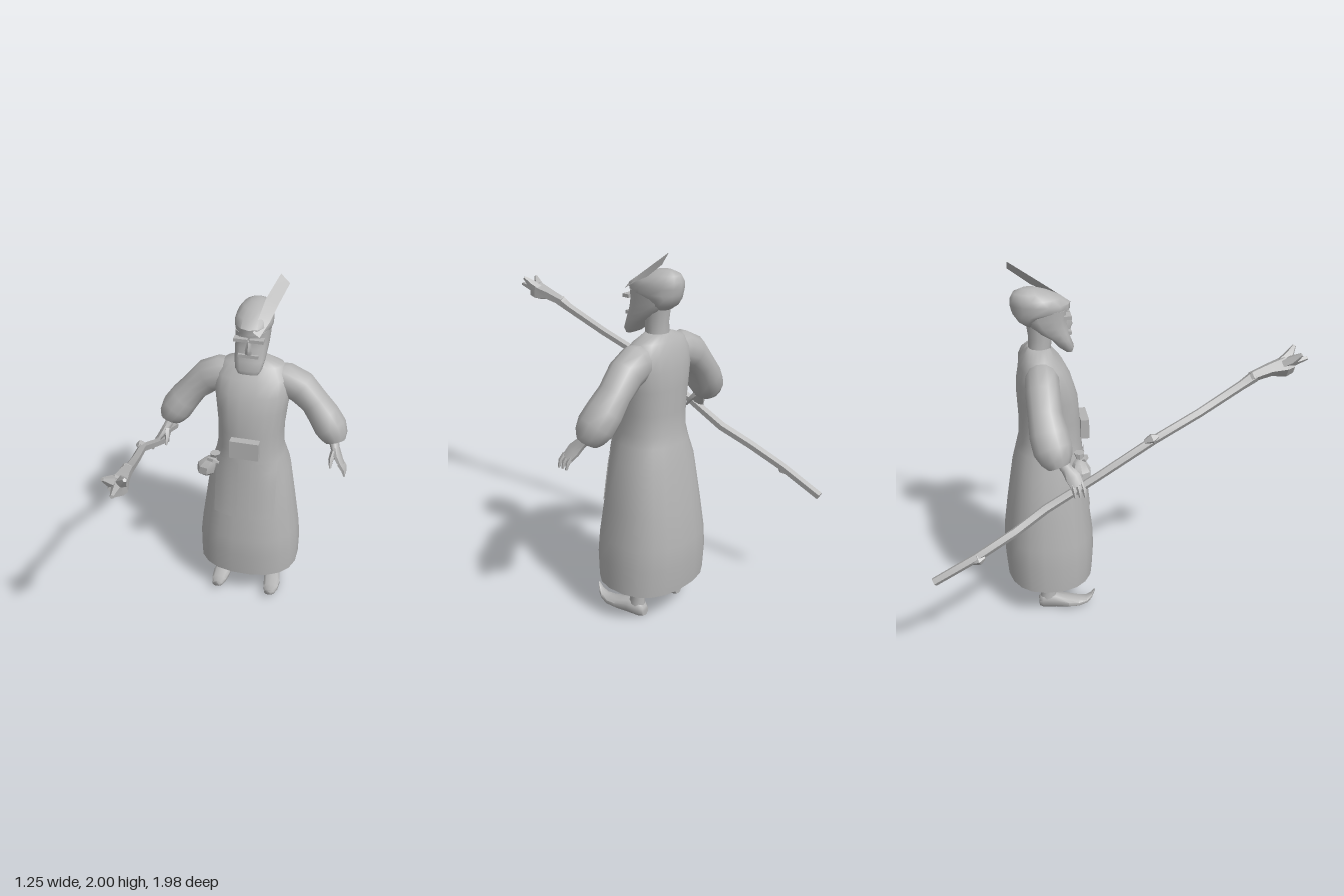
import * as THREE from 'three';
import { toCreasedNormals } from 'three/addons/utils/BufferGeometryUtils.js';

const CX = 0.06; // the figure's own middle; the staff pushes it off x = 0
const V = (x, y, z) => new THREE.Vector3(x, y, z);
const X = V(1, 0, 0), Y = V(0, 1, 0), Z = V(0, 0, 1);
const clay = new THREE.MeshStandardMaterial({ color: 0xb4b4b4 });
clay.name = 'clay grey';
const thin = new THREE.MeshStandardMaterial({ color: 0xb4b4b4, side: THREE.DoubleSide });
thin.name = 'clay grey sheet';

// Superellipse power: keeps the sign
const sp = (v, p) => Math.sign(v) * Math.pow(Math.abs(v), p);

// Skin rings [x, y, z, halfU, halfV]; axis fixes the ring planes, otherwise they follow the path
function loft(rings, { n = 10, ref = X, axis = null, p = 1, crease = 0.9 } = {}) {
  const pos = [], idx = [], c = rings.map((r) => V(r[0], r[1], r[2])), last = rings.length - 1;
  rings.forEach((r, i) => {
    const t = axis || c[Math.min(i + 1, last)].clone().sub(c[Math.max(i - 1, 0)]).normalize();
    const u = ref.clone().addScaledVector(t, -ref.dot(t)).normalize();
    const v = t.clone().cross(u);
    for (let k = 0; k < n; k++) {
      const a = ((k + 0.5) / n) * Math.PI * 2;
      const q = c[i].clone().addScaledVector(u, r[3] * sp(Math.cos(a), p));
      q.addScaledVector(v, (r[4] ?? r[3]) * sp(Math.sin(a), p));
      pos.push(q.x, q.y, q.z);
      if (i < last) {
        const a0 = i * n + k, b0 = i * n + ((k + 1) % n);
        idx.push(a0, b0, b0 + n, a0, b0 + n, a0 + n);
      }
    }
  });
  const s = pos.length / 3;
  pos.push(...c[0].toArray(), ...c[last].toArray());
  for (let k = 0; k < n; k++) {
    const m = (k + 1) % n;
    idx.push(s, m, k, s + 1, last * n + k, last * n + m);
  }
  const g = new THREE.BufferGeometry();
  g.setAttribute('position', new THREE.Float32BufferAttribute(pos, 3));
  g.setIndex(idx);
  return toCreasedNormals(g, crease);
}

// Upright body from [y, halfWidth, zFront, zBack]
const upright = (rows, opt) => loft(
  rows.map(([y, rx, f, b]) => [CX, y, (f + b) / 2, rx, (f - b) / 2]), { axis: Y, ...opt });

const ROBE = [
  [0.2, 0.3, -0.1, -0.59], [0.35, 0.302, -0.09, -0.6], [0.47, 0.29, -0.094, -0.595],
  [0.65, 0.265, -0.115, -0.57], [0.9, 0.23, -0.138, -0.53], [1.0, 0.198, -0.145, -0.505],
  [1.06, 0.187, -0.15, -0.49], [1.17, 0.187, -0.155, -0.485], [1.3, 0.2, -0.165, -0.49],
  [1.4, 0.215, -0.195, -0.485], [1.48, 0.21, -0.235, -0.47], [1.54, 0.165, -0.285, -0.445],
  [1.572, 0.075, -0.305, -0.42],
];
const ROBE_P = 0.85;

// Front surface of the robe at x, y
function robeFront(x, y) {
  const i = Math.max(1, ROBE.findIndex((r) => r[0] >= y));
  const a = ROBE[i - 1], b = ROBE[i], t = (y - a[0]) / (b[0] - a[0]);
  const [rx, f, k] = [1, 2, 3].map((j) => a[j] + (b[j] - a[j]) * t);
  const e = 2 / ROBE_P, w = Math.pow(Math.abs((x - CX) / rx), e);
  return (f + k) / 2 + ((f - k) / 2) * Math.pow(1 - w, 1 / e);
}

export function createModel() {
  const model = new THREE.Group();
  model.name = 'robedWanderer';
  const add = (name, geo, mat = clay) => {
    const m = new THREE.Mesh(geo, mat);
    m.name = name;
    model.add(m);
    return m;
  };
  const box = (name, w, h, d, x, y, z) =>
    add(name, new THREE.BoxGeometry(w, h, d)).position.set(x, y, z);

  // Robe with belt buckle and two hanging front panels
  add('robe', upright(ROBE, { n: 20, p: ROBE_P }));
  box('beltBuckle', 0.165, 0.11, 0.045, 0.0625, 1.105, -0.1325);
  for (const [name, x] of [['rightPanel', -0.0475], ['leftPanel', 0.1675]]) {
    const g = new THREE.PlaneGeometry(0.143, 0.37, 4, 6), a = g.attributes.position;
    for (let i = 0; i < a.count; i++) {
      const px = a.getX(i) + x, py = a.getY(i) + 0.815;
      a.setXYZ(i, px, py, robeFront(px, py) + 0.007);
    }
    g.computeVertexNormals();
    add(name, g, thin);
  }

  // Pouch on the right hip
  add('pouch', loft([[-0.17, 0.865, -0.18, 0.025], [-0.172, 0.895, -0.178, 0.055],
    [-0.165, 0.94, -0.178, 0.056], [-0.145, 0.975, -0.18, 0.035], [-0.13, 0.99, -0.18, 0.018],
    [-0.118, 1.02, -0.18, 0.03]], { n: 7, axis: Y, crease: 0.6 }));
  add('pouchTie', loft([[-0.155, 0.985, -0.16, 0.012], [-0.12, 0.99, -0.145, 0.016],
    [-0.09, 0.975, -0.15, 0.006]], { n: 5, ref: Y }));

  // Neck, bearded face, brows and nose
  add('neck', upright([[1.54, 0.065, -0.3, -0.42], [1.62, 0.058, -0.29, -0.415],
    [1.74, 0.065, -0.28, -0.43]], { n: 12 }));
  add('face', upright([[1.55, 0.055, -0.185, -0.225], [1.575, 0.072, -0.178, -0.26],
    [1.62, 0.082, -0.195, -0.3], [1.655, 0.085, -0.2, -0.36], [1.69, 0.088, -0.21, -0.4],
    [1.73, 0.09, -0.215, -0.43], [1.78, 0.092, -0.21, -0.45]], { n: 14, p: 0.65 }));
  add('nose', loft([[CX, 1.66, -0.205, 0.02, 0.012], [CX, 1.69, -0.205, 0.02, 0.025],
    [CX, 1.74, -0.21, 0.01, 0.012]], { n: 6, axis: Y }));
  box('moustache', 0.11, 0.018, 0.03, CX, 1.655, -0.207);
  for (const s of [-1, 1]) box('brow', 0.075, 0.018, 0.04, CX + s * 0.043, 1.745, -0.213);

  // Turban and its feather
  add('turban', upright([[1.695, 0.045, -0.37, -0.43], [1.72, 0.075, -0.34, -0.465],
    [1.755, 0.092, -0.28, -0.488], [1.775, 0.1, -0.192, -0.495], [1.808, 0.102, -0.19, -0.502],
    [1.84, 0.095, -0.235, -0.5], [1.87, 0.07, -0.3, -0.485], [1.89, 0.03, -0.36, -0.44]],
    { n: 14 }));
  const feather = new THREE.BufferGeometry();
  feather.setAttribute('position', new THREE.Float32BufferAttribute([
    0.085, 1.8, -0.19, 0.12, 1.775, -0.19, 0.1, 1.855, -0.27, 0.155, 1.825, -0.28,
    0.115, 1.915, -0.36, 0.175, 1.87, -0.38, 0.165, 2.0, -0.5, 0.215, 1.95, -0.5], 3));
  feather.setIndex([0, 1, 3, 0, 3, 2, 2, 3, 5, 2, 5, 4, 4, 5, 7, 4, 7, 6]);
  feather.computeVertexNormals();
  add('feather', feather, thin);

  // Arms, hands, legs and shoes on both sides
  for (const [side, s] of [['left', 1], ['right', -1]]) {
    const limb = (part, rings, opt) => add(side + part,
      loft(rings.map(([x, ...r]) => [CX + s * (x - CX), ...r]), opt));
    limb('Sleeve', [[0.14, 1.455, -0.365, 0.07, 0.08], [0.24, 1.445, -0.365, 0.09, 0.1],
      [0.32, 1.41, -0.37, 0.09, 0.095], [0.4, 1.33, -0.37, 0.088, 0.08],
      [0.46, 1.255, -0.36, 0.1, 0.088], [0.505, 1.19, -0.345, 0.102, 0.092],
      [0.53, 1.145, -0.33, 0.085, 0.078], [0.54, 1.115, -0.32, 0.06, 0.058]],
      { n: 12, ref: Z });
    limb('Hand', [[0.525, 1.15, -0.325, 0.032, 0.03], [0.545, 1.1, -0.285, 0.03, 0.025],
      [0.568, 1.06, -0.255, 0.042, 0.022], [0.595, 1.02, -0.235, 0.036, 0.016]],
      { n: 8, ref: Z });
    for (let f = 0; f < 3; f++) {
      const z = -0.262 + f * 0.025;
      limb('Finger', [[0.585, 1.035, z, 0.014], [0.608, 1.005, z + 0.008, 0.013],
        [0.619, 0.968, z + 0.012, 0.006]], { n: 5, ref: Z });
    }
    limb('Thumb', [[0.545, 1.085, -0.255, 0.02], [0.535, 1.05, -0.222, 0.015],
      [0.537, 1.01, -0.198, 0.006]], { n: 5 });
    limb('Leg', [[0.21, 0.05, -0.37, 0.04, 0.05], [0.208, 0.11, -0.37, 0.034, 0.043],
      [0.206, 0.25, -0.37, 0.038, 0.046]], { n: 10, axis: Y });
    limb('Shoe', [[0.208, 0.04, -0.425, 0.025, 0.028], [0.21, 0.046, -0.405, 0.038, 0.04],
      [0.214, 0.046, -0.33, 0.045, 0.042], [0.222, 0.036, -0.26, 0.053, 0.03],
      [0.226, 0.029, -0.2, 0.046, 0.024], [0.226, 0.033, -0.15, 0.032, 0.018],
      [0.224, 0.055, -0.12, 0.019, 0.016], [0.22, 0.09, -0.1, 0.006, 0.008]],
      { n: 10, axis: Z, p: 0.8 });
  }

  // Knotted staff with a clawed head
  const wood = { n: 5, crease: 0.35 };
  add('staffShaft', loft([[-0.605, 0.615, -0.98, 0.023], [-0.585, 0.725, -0.76, 0.024],
    [-0.54, 0.825, -0.56, 0.025], [-0.483, 0.91, -0.4, 0.026], [-0.46, 1.06, -0.13, 0.023],
    [-0.432, 1.23, 0.16, 0.024], [-0.38, 1.335, 0.4, 0.024], [-0.328, 1.45, 0.63, 0.026],
    [-0.315, 1.49, 0.7, 0.032]], wood));
  for (const [x, y, z] of [[-0.59, 0.715, -0.75], [-0.44, 1.24, 0.15], [-0.32, 1.49, 0.69]]) {
    add('staffKnot', loft([[x, y - 0.015, z - 0.04, 0.012], [x, y, z, 0.03],
      [x, y + 0.012, z + 0.03, 0.01]], wood));
  }
  add('staffHead', loft([[-0.315, 1.485, 0.68, 0.028], [-0.303, 1.515, 0.78, 0.038, 0.036],
    [-0.295, 1.525, 0.86, 0.052, 0.056], [-0.29, 1.53, 0.9, 0.04, 0.045]], wood));
  for (const [x, y, z] of [[-0.34, 1.6, 0.93], [-0.237, 1.61, 0.925], [-0.28, 1.555, 0.985]]) {
    add('staffClaw', loft([[-0.3, 1.515, 0.8, 0.025], [(x - 0.295) / 2, (y + 1.525) / 2, 0.89, 0.028],
      [x, y, z, 0.01]], wood));
  }
  return model;
}
